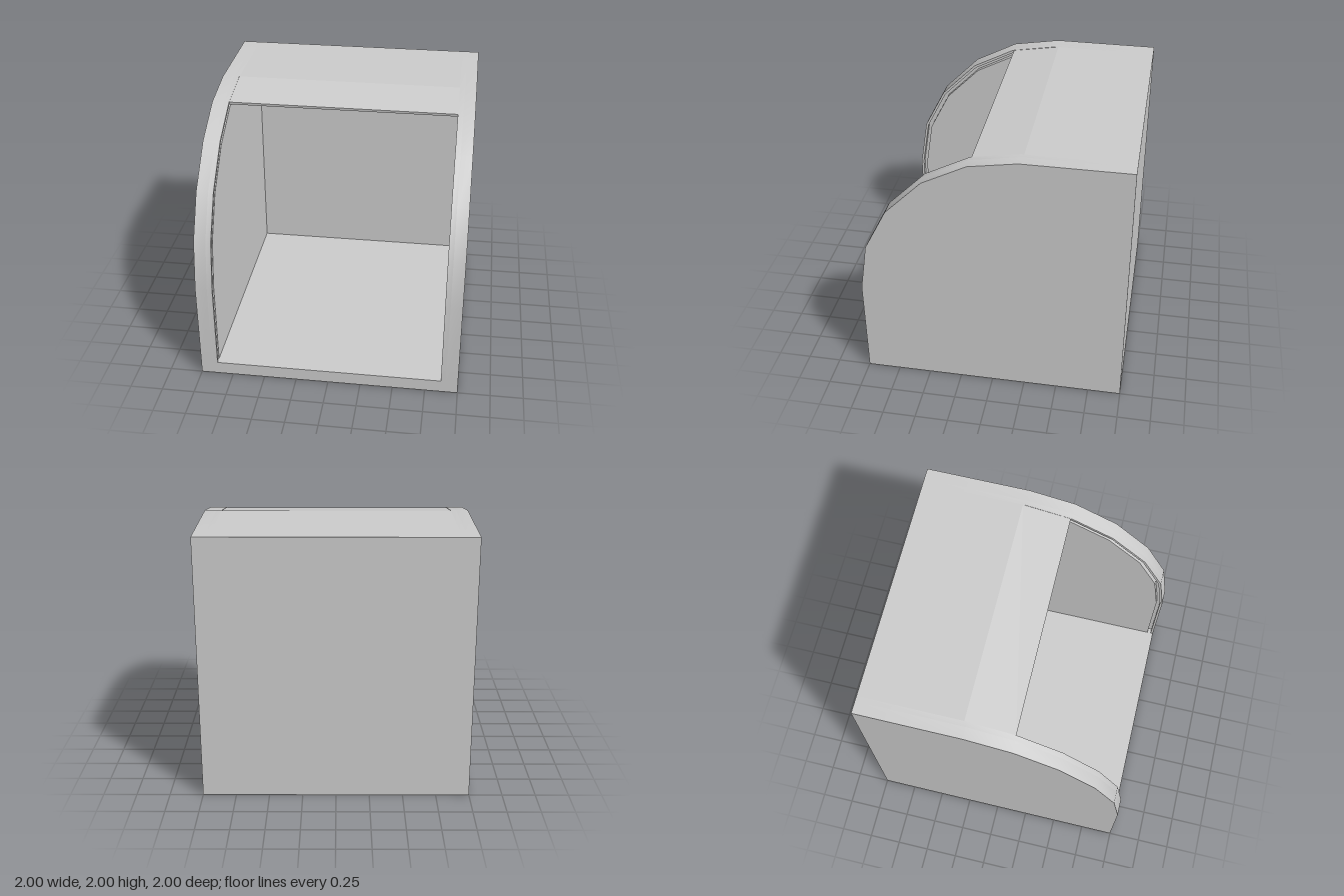
import * as THREE from 'three';
import { toCreasedNormals } from 'three/addons/utils/BufferGeometryUtils.js';

const material = new THREE.MeshStandardMaterial({ color: 0xcccccc });

// Side outline as [z, y], from the front foot up and over to the top rear
const OUTLINE = [[1, 0], [1, 0.78], [0.94, 1.16], [0.77, 1.49], [0.49, 1.77], [0.16, 1.94], [-0.2, 2], [-1, 2]];
const INNER_X = 0.87, GROOVE_X = 0.91, FLOOR_Y = 0.1, BACK_Z = -0.97, SKIN = 0.02, GROOVE_END = 0.05;

// Moves a [z, y] path inwards by d with mitred corners
function inset(path, d) {
  const normals = path.slice(1).map(([z, y], i) => {
    const dz = z - path[i][0], dy = y - path[i][1], len = Math.hypot(dz, dy);
    return [-dy / len, dz / len];
  });
  return path.map(([z, y], i) => {
    const a = normals[Math.max(i - 1, 0)], b = normals[Math.min(i, normals.length - 1)];
    const k = d / (1 + a[0] * b[0] + a[1] * b[1]);
    return [z + (a[0] + b[0]) * k, y + (a[1] + b[1]) * k];
  });
}

// Extrudes a [z, y] outline across x0..x1
function slab(name, points, x0, x1, crease = 0.5) {
  const shape = new THREE.Shape(points.map(([z, y]) => new THREE.Vector2(z, y)));
  const geometry = new THREE.ExtrudeGeometry(shape, { depth: x1 - x0, bevelEnabled: false });
  geometry.rotateY(-Math.PI / 2).translate(x1, 0, 0);
  const mesh = new THREE.Mesh(toCreasedNormals(geometry, crease), material);
  mesh.name = name;
  return mesh;
}

const rect = (z0, z1, y0, y1) => [[z1, y0], [z1, y1], [z0, y1], [z0, y0]];

export function createModel() {
  const model = new THREE.Group();
  model.name = 'rollTopBox';

  // Side walls, with a curved groove for a sliding door on the inner face
  const rim = [...OUTLINE, ...inset(OUTLINE, SKIN).reverse()];
  const core = inset(OUTLINE, GROOVE_END);
  core[0][1] = 0;
  for (const s of [1, -1]) {
    const wall = new THREE.Group();
    wall.name = s > 0 ? 'leftWall' : 'rightWall';
    const add = (name, points, a, b) => wall.add(slab(name, points, Math.min(s * a, s * b), Math.max(s * a, s * b)));
    add('outerPanel', [...OUTLINE, [-1, 0]], GROOVE_X, 1);
    add('grooveRim', rim, INNER_X, GROOVE_X);
    add('innerPanel', [...core, [-1, 0]], INNER_X, GROOVE_X);
    model.add(wall);
  }

  // Floor and back between the walls, filling the groove ends
  model.add(slab('floor', rect(-1, 1, 0, FLOOR_Y), -GROOVE_X, GROOVE_X));
  model.add(slab('backPanel', rect(-1, BACK_Z, 0, 2), -GROOVE_X, GROOVE_X));

  // Thin top with a sloping front lip
  const top = [[0.15, 1.94], [-0.22, 2], [-1, 2]];
  model.add(slab('top', [...top, ...inset(top, SKIN).reverse()], -INNER_X, INNER_X, 0.05));

  return model;
}
